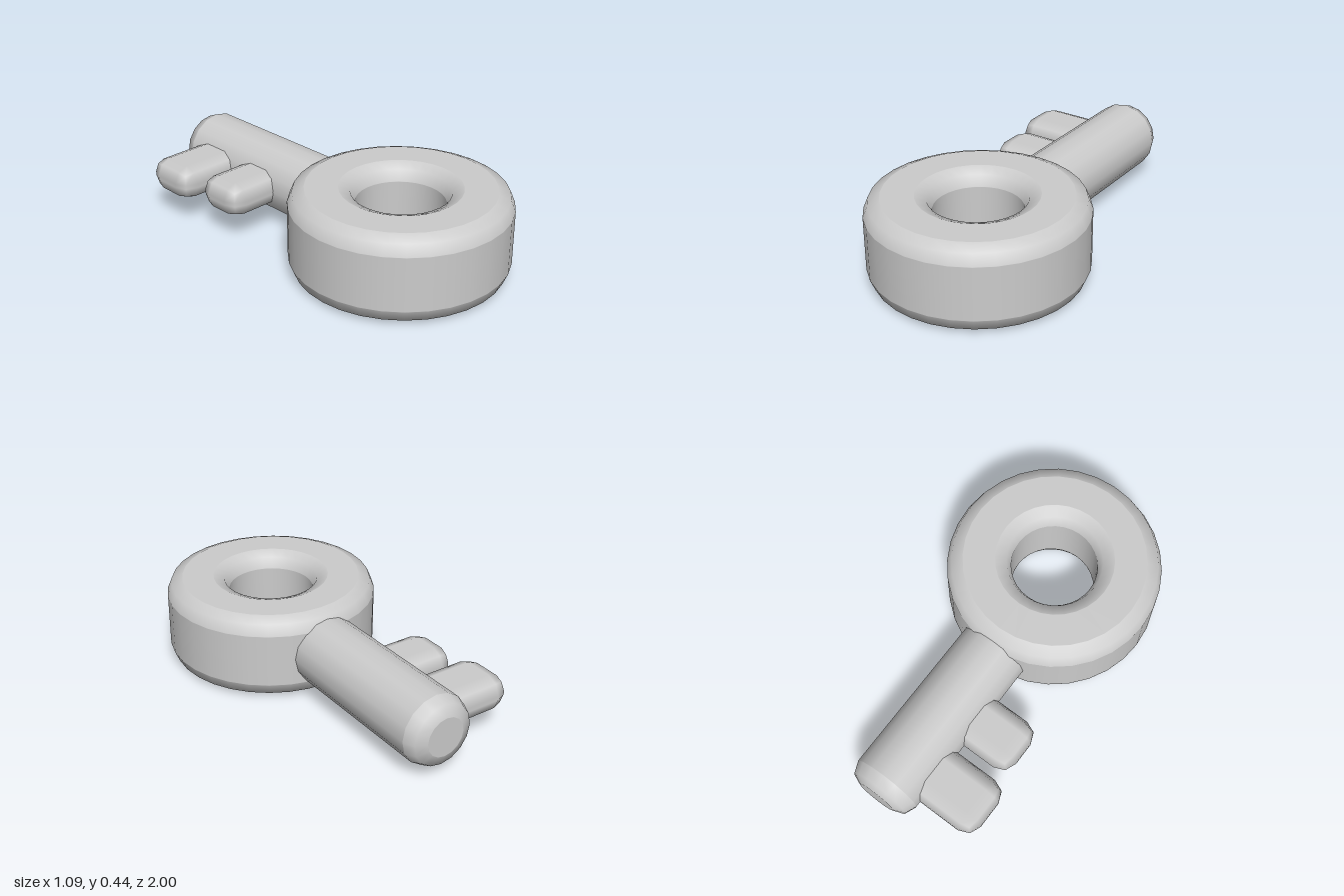
import * as THREE from 'three';
import { RoundedBoxGeometry } from 'three/addons/geometries/RoundedBoxGeometry.js';

const BEVEL = 0.08;
const MID_Y = 0.22;
const material = new THREE.MeshStandardMaterial({ color: 0xcccccc });

// Two-step rounded corner around (cx, cy), from angle a0 counter-clockwise for 90 degrees.
// The extra point at each end keeps the neighbouring flat shaded flat.
function corner(cx, cy, a0) {
  const points = [];
  for (let i = 0; i <= 2; i++) {
    const a = a0 + (i * Math.PI) / 4;
    points.push(new THREE.Vector2(cx + BEVEL * Math.cos(a), cy + BEVEL * Math.sin(a)));
  }
  const e = 0.002;
  const a1 = a0 + Math.PI / 2;
  const before = points[0].clone().add(new THREE.Vector2(Math.sin(a0) * e, -Math.cos(a0) * e));
  const after = points[2].clone().add(new THREE.Vector2(-Math.sin(a1) * e, Math.cos(a1) * e));
  return [before, ...points, after];
}

function addMesh(group, name, geometry) {
  const mesh = new THREE.Mesh(geometry, material);
  mesh.name = name;
  group.add(mesh);
  return mesh;
}

export function createModel() {
  const key = new THREE.Group();
  key.name = 'key';

  // Ring-shaped handle: a rounded rectangle turned around the hole
  const outer = 0.545, inner = 0.22, half = 0.22;
  const o = outer - BEVEL, n = inner + BEVEL, h = half - BEVEL;
  const ringProfile = [
    new THREE.Vector2(inner, 0),
    ...corner(n, -h, Math.PI),
    ...corner(o, -h, -Math.PI / 2),
    ...corner(o, h, 0),
    ...corner(n, h, Math.PI / 2),
    new THREE.Vector2(inner, 0),
  ];
  addMesh(key, 'handleRing', new THREE.LatheGeometry(ringProfile, 32)).position.set(0, MID_Y, 0.455);

  // Shaft: a cylinder with rounded ends, its front end buried in the ring
  const radius = 0.183, front = 0.09, back = -1;
  const length = front - back;
  const r = radius - BEVEL, s = length / 2 - BEVEL;
  const shaftProfile = [
    new THREE.Vector2(0, -length / 2),
    ...corner(r, -s, -Math.PI / 2),
    ...corner(r, s, 0),
    new THREE.Vector2(0, length / 2),
  ];
  const shaft = new THREE.LatheGeometry(shaftProfile, 16).rotateX(-Math.PI / 2);
  addMesh(key, 'shaft', shaft).position.set(0, MID_Y, (front + back) / 2);

  // Two teeth on the right side of the shaft
  const teeth = [
    { name: 'outerTooth', tip: -0.49, z0: -0.89, z1: -0.59 },
    { name: 'innerTooth', tip: -0.44, z0: -0.54, z1: -0.26 },
  ];
  for (const { name, tip, z0, z1 } of teeth) {
    const geometry = new RoundedBoxGeometry(-tip, 0.18, z1 - z0, 1, BEVEL);
    addMesh(key, name, geometry).position.set(tip / 2, MID_Y, (z0 + z1) / 2);
  }

  return key;
}
